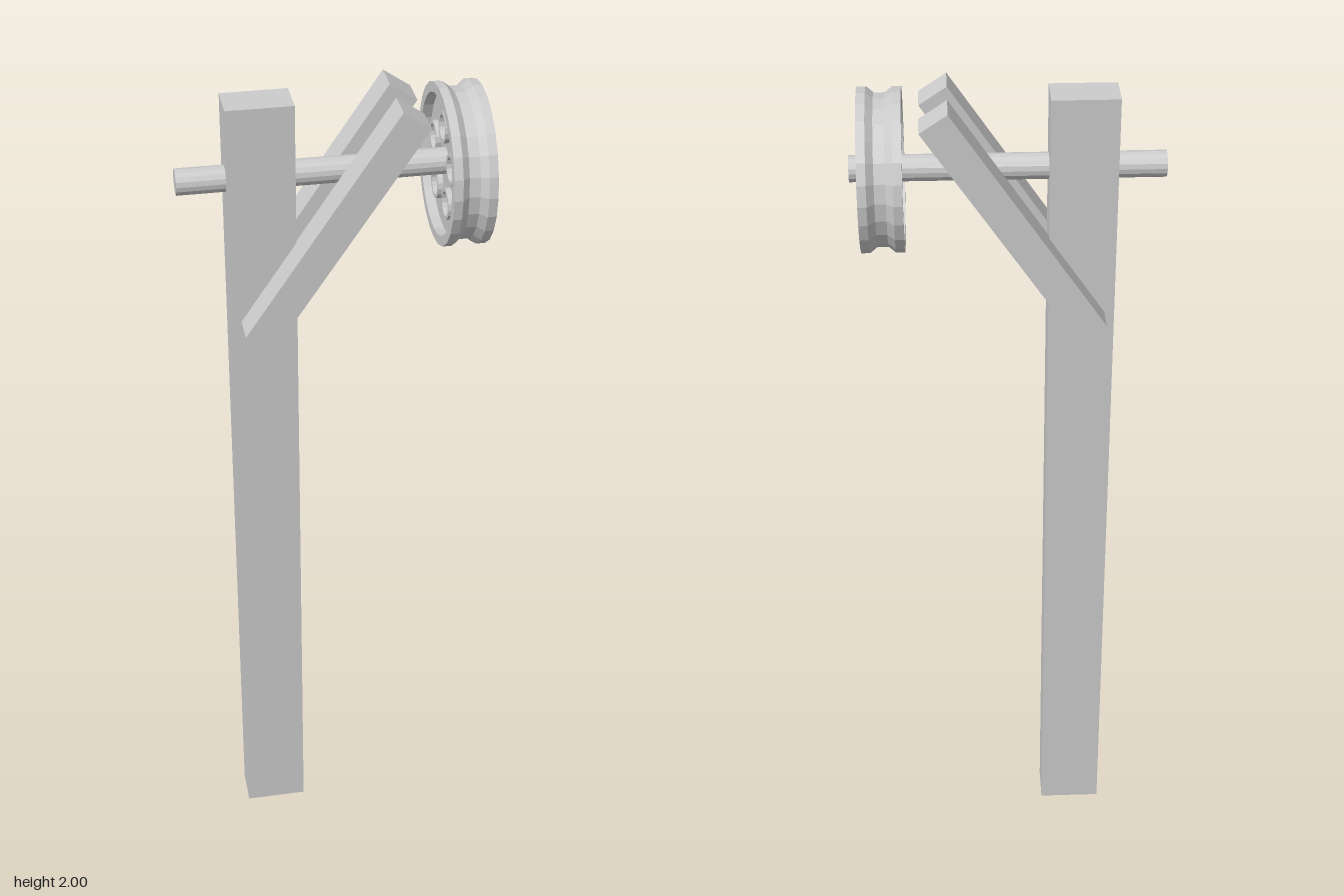
import * as THREE from 'three';

const material = new THREE.MeshStandardMaterial({ color: 0xcccccc, flatShading: true });

function addMesh(parent, name, geometry, x = 0, y = 0, z = 0) {
  const mesh = new THREE.Mesh(geometry, material);
  mesh.name = name;
  mesh.position.set(x, y, z);
  parent.add(mesh);
  return mesh;
}

// Revolves a closed [radius, along] profile around the x axis
function ringAlongX(profile, sides) {
  const points = [...profile, profile[0]].map(([r, a]) => new THREE.Vector2(r, a));
  return new THREE.LatheGeometry(points, sides).rotateZ(-Math.PI / 2);
}

function createWheel() {
  const wheel = new THREE.Group();
  wheel.name = 'wheel';

  // Grooved rim, outer side first and then the inner side
  addMesh(wheel, 'rim', ringAlongX([
    [0.156, -0.0475], [0.178, -0.0475], [0.178, -0.028], [0.165, -0.012],
    [0.165, 0.012], [0.178, 0.028], [0.178, 0.0475], [0.156, 0.0475],
  ], 24));

  // Recessed web with five holes
  const web = new THREE.Shape().absarc(0, 0, 0.16, 0, Math.PI * 2);
  const bosses = [];
  for (let i = 0; i < 5; i++) {
    const a = Math.PI / 2 + i * Math.PI * 2 / 5;
    const u = 0.087 * Math.cos(a), v = 0.087 * Math.sin(a);
    web.holes.push(new THREE.Path().absarc(u, v, 0.031, 0, Math.PI * 2, true));
    bosses.push([u, v]);
  }
  const webGeometry = new THREE.ExtrudeGeometry(web, { depth: 0.05, bevelEnabled: false, curveSegments: 12 });
  addMesh(wheel, 'web', webGeometry.translate(0, 0, -0.025).rotateY(Math.PI / 2));

  // Raised collars around the holes
  const collar = ringAlongX([[0.027, -0.037], [0.035, -0.037], [0.035, 0.037], [0.027, 0.037]], 16);
  bosses.forEach(([u, v]) => addMesh(wheel, 'holeCollar', collar, 0, v, -u));
  return wheel;
}

export function createModel() {
  const model = new THREE.Group();
  model.name = 'pulleyPost';

  addMesh(model, 'post', new THREE.BoxGeometry(0.148, 2, 0.09), -0.162, 1, -0.013);

  const axle = new THREE.CylinderGeometry(0.029, 0.029, 0.686, 16).rotateZ(-Math.PI / 2);
  addMesh(model, 'axle', axle, 0, 1.828, -0.006);

  // Slanted braces on both sides of the post
  for (const z of [0.064, -0.081]) {
    const brace = addMesh(model, 'brace', new THREE.BoxGeometry(0.074, 0.613, 0.076), -0.012, 1.724, z);
    brace.rotation.z = -Math.atan2(0.343, 0.508);
  }

  const wheel = createWheel();
  wheel.position.set(0.2735, 1.822, -0.002);
  model.add(wheel);
  return model;
}
